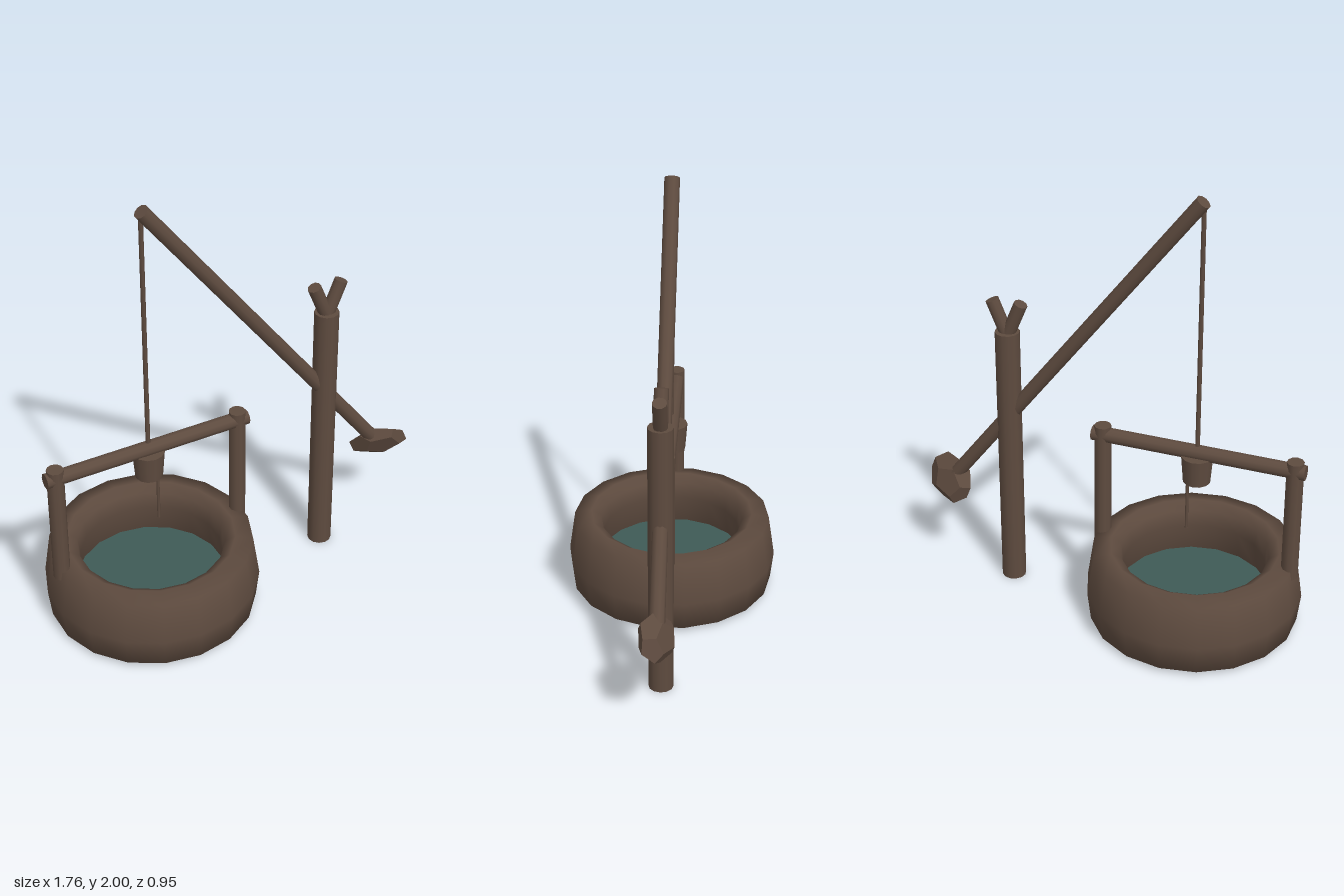
import * as THREE from 'three';

const wood = new THREE.MeshStandardMaterial({ color: 0x5e4b3f });
wood.name = 'brown wood and stone';
const waterBlue = new THREE.MeshStandardMaterial({ color: 0x3f5a56, side: THREE.DoubleSide });
waterBlue.name = 'well water';

const WELL_X = -0.408;

export function createModel() {
  const model = new THREE.Group();
  model.name = 'sweepWell';

  const add = (name, geometry, material = wood) => {
    const mesh = new THREE.Mesh(geometry, material);
    mesh.name = name;
    model.add(mesh);
    return mesh;
  };

  // Round pole between two points in the z = 0 plane
  const pole = (name, x1, y1, x2, y2, radius, sides = 10, endRadius = radius) => {
    const a = new THREE.Vector3(x1, y1, 0);
    const b = new THREE.Vector3(x2, y2, 0);
    const mesh = add(name, new THREE.CylinderGeometry(endRadius, radius, a.distanceTo(b), sides));
    mesh.position.copy(a).add(b).multiplyScalar(0.5);
    mesh.quaternion.setFromUnitVectors(new THREE.Vector3(0, 1, 0), b.sub(a).normalize());
    return mesh;
  };

  // Stone ring: closed profile, outer wall first, then over the rim and down inside
  const profile = [
    [0.39, 0.02], [0.46, 0.02], [0.475, 0.15], [0.447, 0.34], [0.37, 0.355],
    [0.325, 0.325], [0.315, 0.25], [0.335, 0.1], [0.39, 0.02],
  ].map(([r, y]) => new THREE.Vector2(r, y));
  add('wellRing', new THREE.LatheGeometry(profile, 18)).position.x = WELL_X;

  // Water surface inside the ring
  const water = add('water', new THREE.CircleGeometry(0.335, 18, Math.PI / 2), waterBlue);
  water.rotation.x = -Math.PI / 2;
  water.position.set(WELL_X, 0.12, 0);

  // Frame over the well
  for (const side of [-1, 1]) {
    const x = WELL_X + side * 0.428;
    pole(side < 0 ? 'rightFramePost' : 'leftFramePost', x, 0.3, x, 0.875, 0.037);
  }
  pole('crossbar', -0.882, 0.83, 0.066, 0.83, 0.034);

  // Bucket with its long rope above and short rope below
  pole('bucket', WELL_X, 0.69, WELL_X, 0.815, 0.06, 12, 0.07);
  pole('longRope', WELL_X, 0.81, WELL_X, 1.97, 0.01, 6);
  pole('shortRope', -0.367, 0.44, -0.367, 0.7, 0.007, 6);

  // Standing post with a forked top
  pole('mainPost', 0.455, 0, 0.455, 1.25, 0.054, 12);
  for (const side of [-1, 1]) {
    pole(side < 0 ? 'rightFork' : 'leftFork', 0.455, 1.23, 0.455 + side * 0.066, 1.39, 0.03);
  }

  // Swinging beam
  pole('sweepBeam', 0.74, 0.46, -0.405, 1.98, 0.033);

  // Counterweight stone: flattened, leaning dodecahedron
  const stone = new THREE.DodecahedronGeometry(1);
  stone.rotateY(-0.5536);
  stone.scale(0.123, 0.1, 0.05);
  const p = stone.attributes.position;
  for (let i = 0; i < p.count; i++) {
    p.setZ(i, p.getZ(i) + 0.36 * p.getX(i) + 0.42 * p.getY(i));
  }
  stone.computeVertexNormals();
  add('counterweight', stone).position.set(0.755, 0.448, 0);

  return model;
}
